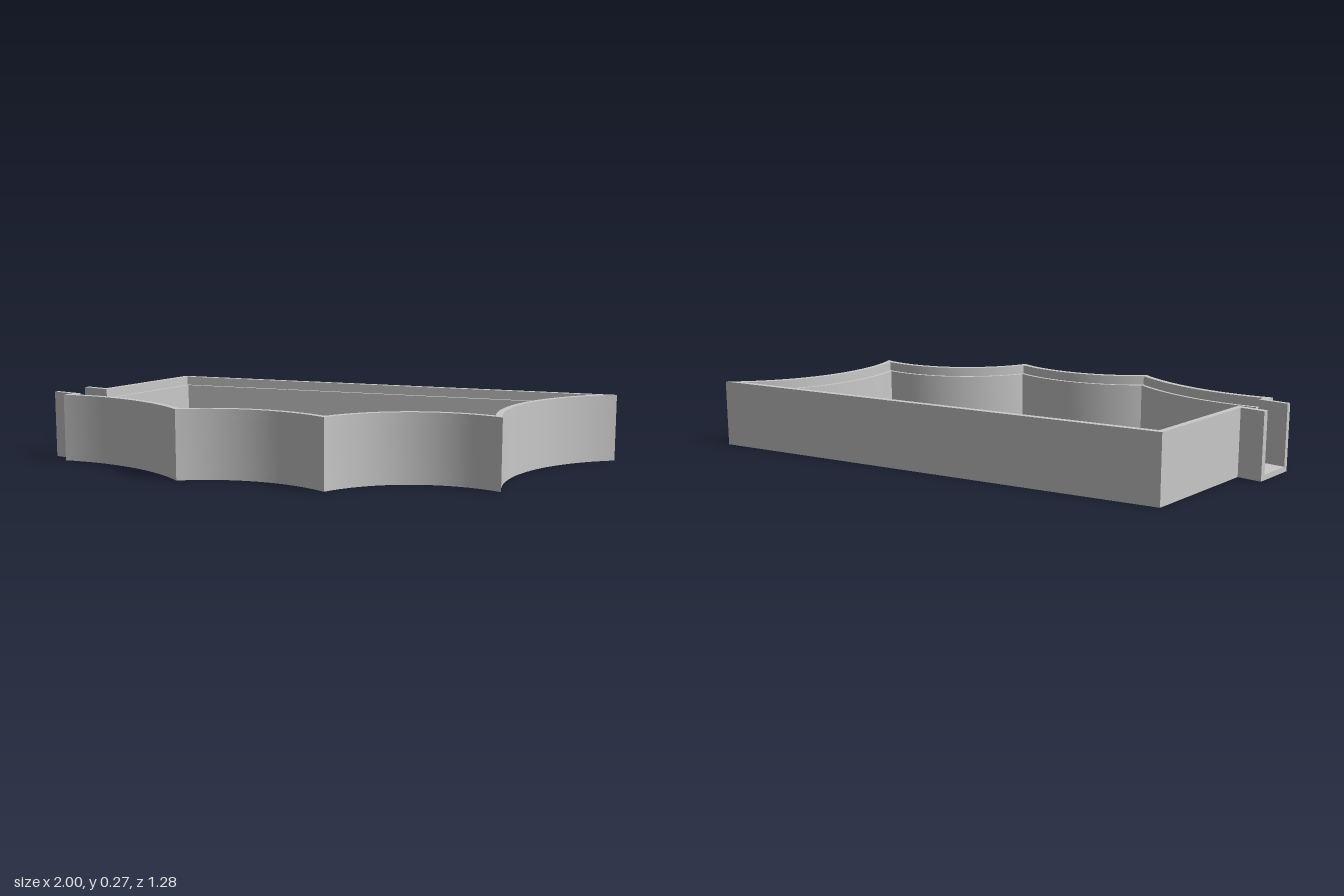
import * as THREE from 'three';
import { toCreasedNormals } from 'three/addons/utils/BufferGeometryUtils.js';

const HEIGHT = 0.272, FLOOR = 0.022, LEDGE = 0.235, RIB = 0.02;

// Points of an arc from a to b, bulging into the wing by sag
function arc(a, b, sag, n = 28) {
  const dx = b[0] - a[0], dz = b[1] - a[1], c = Math.hypot(dx, dz);
  const r = (c * c / 4 + sag * sag) / (2 * sag), half = Math.asin(c / 2 / r);
  return Array.from({ length: n + 1 }, (_, i) => {
    const t = half * (2 * i / n - 1);
    const along = (c / 2 + r * Math.sin(t)) / c, up = (sag - r + r * Math.cos(t)) / c;
    return [a[0] + dx * along - dz * up, a[1] + dz * along + dx * up];
  });
}

// One smooth edge moved inwards by d
function offsetEdge(path, d) {
  const normals = path.slice(1).map((p, i) => {
    const dx = p[0] - path[i][0], dz = p[1] - path[i][1], l = Math.hypot(dx, dz);
    return [-dz / l, dx / l];
  });
  return path.map((p, i) => {
    const m = normals[Math.max(i - 1, 0)], n = normals[Math.min(i, normals.length - 1)];
    const k = d / (1 + m[0] * n[0] + m[1] * n[1]);
    return [p[0] + (m[0] + n[0]) * k, p[1] + (m[1] + n[1]) * k];
  });
}

// Joins edge a to edge b where they cross, dropping the overshooting ends
function joinEdges(a, b) {
  for (let i = a.length - 2; i >= 0; i--) {
    for (let j = 0; j < b.length - 1; j++) {
      const [p, q, s, t] = [a[i], a[i + 1], b[j], b[j + 1]];
      const ux = q[0] - p[0], uz = q[1] - p[1], vx = t[0] - s[0], vz = t[1] - s[1];
      const det = ux * vz - uz * vx, wx = s[0] - p[0], wz = s[1] - p[1];
      const k = (wx * vz - wz * vx) / det, m = (wx * uz - wz * ux) / det;
      if (k >= 0 && k <= 1 && m >= 0 && m <= 1) {
        return [...a.slice(0, i + 1), [p[0] + ux * k, p[1] + uz * k], ...b.slice(j + 1)];
      }
    }
  }
  return [...a, ...b];
}

// Upright slab over a plan outline given as [x, z] points
function slab(name, points, y0, y1, material) {
  const shape = new THREE.Shape(points.map(([x, z]) => new THREE.Vector2(x, -z)));
  let geo = new THREE.ExtrudeGeometry(shape, { depth: y1 - y0, bevelEnabled: false });
  geo.rotateX(-Math.PI / 2).translate(0, y0, 0);
  geo = toCreasedNormals(geo, Math.PI / 9);
  const mesh = new THREE.Mesh(geo, material);
  mesh.name = name;
  return mesh;
}

export function createModel() {
  const group = new THREE.Group();
  group.name = 'wingTray';
  const grey = new THREE.MeshStandardMaterial({ color: 0xc9c9c9 });
  grey.name = 'grey';

  // Wing outline: straight root and top edges, then four scalloped edges
  const root = [-0.9, -0.21], tip = [0.998, -0.645];
  const c = [0.86, 0.165], d = [0.32, 0.505], e = [-0.255, 0.64], f = [-0.9, 0.57];
  const edges = [
    [[-0.9, 0.345], root], [root, tip],
    arc(tip, c, 0.137), arc(c, d, 0.125), arc(d, e, 0.083), arc(e, f, 0.065),
    [f, [-0.9, 0.5]],
  ];
  const wing = edges.slice(1).flatMap((edge) => edge.slice(0, -1));

  // Floor with the connector tab
  const outer = [[-1, 0.32], [-0.9, 0.32], ...wing, [-0.9, 0.52], [-1, 0.52]];
  group.add(slab('floor', outer, 0, FLOOR, grey));

  // Walls, open through the tab channel; the upper part is thinner and leaves a ledge
  const wall = (name, thickness, y0, y1) => {
    const inner = edges.map((edge) => offsetEdge(edge, thickness)).reduce(joinEdges);
    group.add(slab(name, [[-1, 0.345], ...outer, [-1, 0.5], ...inner.reverse()], y0, y1, grey));
  };
  wall('lowerWall', 0.04, FLOOR, LEDGE);
  wall('upperRim', 0.025, LEDGE, HEIGHT);

  // Finger bone ribs fanning out over the floor
  const ribs = [
    ['ribTopEdge', [[-0.86, -0.175], [-0.86, -0.182], [0.12, -0.408], [0.125, -0.36], [0.1, -0.36]]],
    ['ribOuter', [[0.1, -0.405], [0.12, -0.385], [0.825, 0.125], [0.785, 0.13], [0.135, -0.345], [0.1, -0.36]]],
    ['ribMiddle', [[0.107, -0.365], [0.13, -0.355], [0.312, 0.455], [0.287, 0.465]]],
    ['ribInner', [[0.1, -0.365], [0.125, -0.35], [-0.205, 0.56], [-0.24, 0.59]]],
  ];
  for (const [name, pts] of ribs) group.add(slab(name, pts, FLOOR, FLOOR + RIB, grey));

  return group;
}
